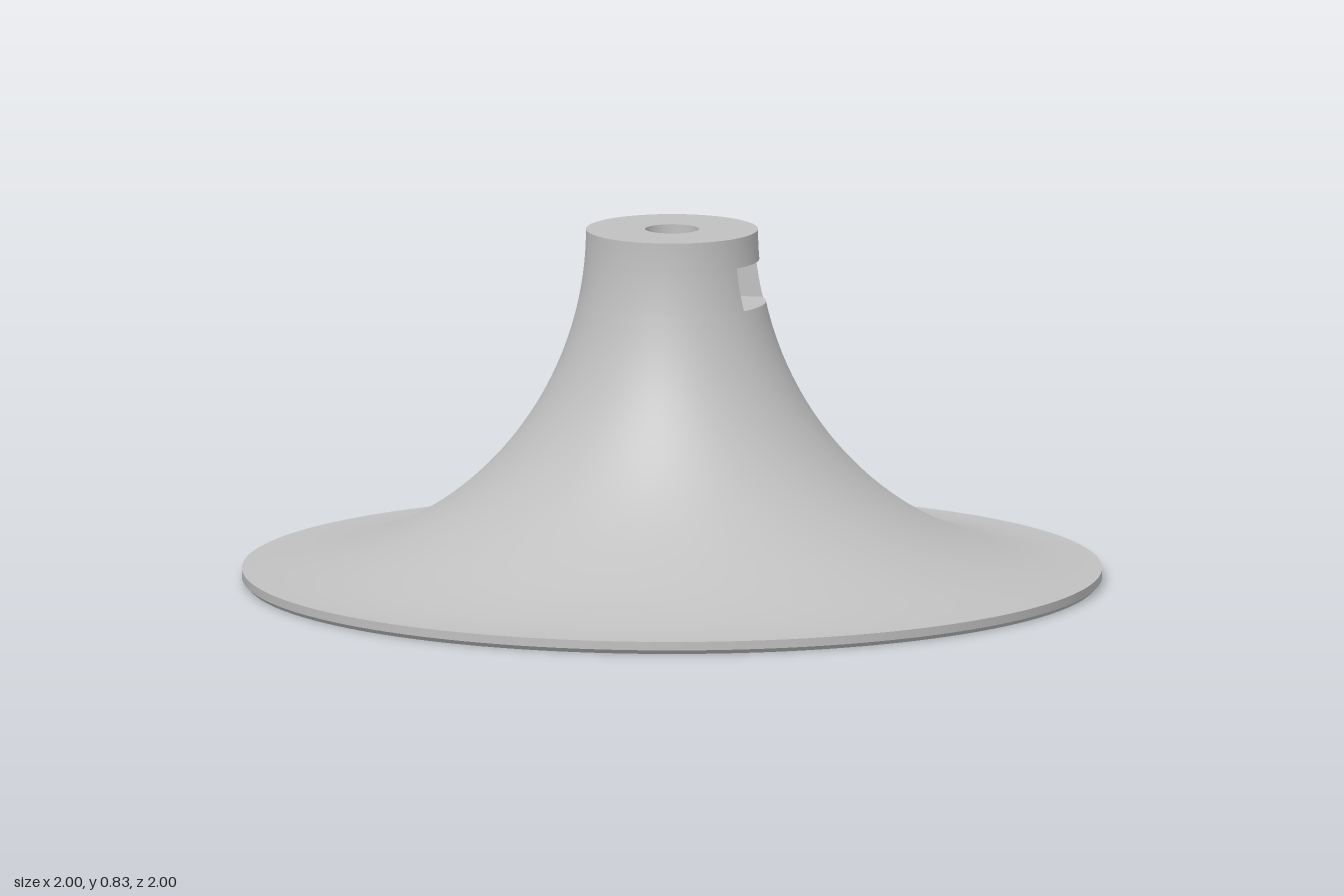
import * as THREE from 'three';
import { ParametricGeometry } from 'three/addons/geometries/ParametricGeometry.js';

const TOP = 0.83, RIM = 0.03;            // heights of neck top and rim top
const SLOT_LOW = 0.66, SLOT_HIGH = 0.76; // side slot
const HALF = 0.1, BACK = -0.1;           // slot half width and back wall
const BORE = 0.0625, BORE_FLOOR = 0.45;

// Radius of the concave flare: a quarter circle centred outside the body
const flare = (y) => 1 - Math.sqrt(Math.max(0, 0.64 - (y - TOP) ** 2));
const mouth = (y) => Math.sqrt(flare(y) ** 2 - HALF ** 2);

export function createModel() {
  const group = new THREE.Group();
  const grey = new THREE.MeshStandardMaterial({ color: 0xc0c0c0, side: THREE.DoubleSide });
  grey.name = 'plain grey';

  const add = (name, geometry) => {
    const mesh = new THREE.Mesh(geometry, grey);
    mesh.name = name;
    group.add(mesh);
    return mesh;
  };
  const lathe = (name, points) =>
    add(name, new THREE.LatheGeometry(points.map(([x, y]) => new THREE.Vector2(x, y)), 128));
  const surface = (name, fn, nu, nv) => add(name, new ParametricGeometry(fn, nu, nv));

  // Flared profile between two heights, spaced by angle along the arc
  const arc = (y0, y1, n) => {
    const a0 = Math.asin((TOP - y0) / 0.8), a1 = Math.asin((TOP - y1) / 0.8);
    return Array.from({ length: n + 1 }, (_, i) => {
      const a = a0 + (a1 - a0) * i / n;
      return [1 - 0.8 * Math.cos(a), TOP - 0.8 * Math.sin(a)];
    });
  };

  // Base disc and rim
  lathe('underside', [[0, 0], [0.99, 0]]);
  lathe('rimBevel', [[0.99, 0], [1, 0.01]]);
  lathe('rim', [[1, 0.01], [1, RIM]]);

  // Flared body below and above the slot
  lathe('flaredBody', arc(RIM, SLOT_LOW, 40));
  lathe('neckCollar', arc(SLOT_HIGH, TOP, 4));
  lathe('neckTop', [[flare(TOP), TOP], [BORE, TOP]]);

  // Neck wall around the slot, left open towards +x
  surface('neckWall', (u, v, target) => {
    const y = SLOT_LOW + (SLOT_HIGH - SLOT_LOW) * v;
    const r = flare(y), open = Math.asin(HALF / r);
    const t = open + (2 * Math.PI - 2 * open) * u;
    target.set(r * Math.cos(t), y, -r * Math.sin(t));
  }, 112, 6);

  // Slot side walls and back wall
  for (const s of [-1, 1]) {
    surface(s < 0 ? 'slotBackSide' : 'slotFrontSide', (u, v, target) => {
      const y = SLOT_LOW + (SLOT_HIGH - SLOT_LOW) * v;
      const k = s < 0 ? u : 1 - u;
      target.set(BACK + (mouth(y) - BACK) * k, y, s * HALF);
    }, 1, 6);
  }
  surface('slotEnd', (u, v, target) =>
    target.set(BACK, SLOT_LOW + (SLOT_HIGH - SLOT_LOW) * v, HALF - 2 * HALF * u), 1, 1);

  // Slot floor and ceiling, pierced by the bore
  const slotPlate = (name, y, turn) => {
    const r = flare(y), a = Math.asin(HALF / r);
    const shape = new THREE.Shape();
    shape.moveTo(BACK, -HALF);
    shape.lineTo(mouth(y), -HALF);
    shape.absarc(0, 0, r, -a, a, false);
    shape.lineTo(BACK, HALF);
    shape.closePath();
    shape.holes.push(new THREE.Path().absarc(0, 0, BORE, 0, Math.PI * 2, true));
    add(name, new THREE.ShapeGeometry(shape, 32).rotateX(turn * Math.PI / 2).translate(0, y, 0));
  };
  slotPlate('slotFloor', SLOT_LOW, -1);
  slotPlate('slotCeiling', SLOT_HIGH, 1);

  // Blind bore down from the neck top
  lathe('upperBore', [[BORE, TOP], [BORE, SLOT_HIGH]]);
  lathe('lowerBore', [[BORE, SLOT_LOW], [BORE, BORE_FLOOR]]);
  lathe('boreFloor', [[BORE, BORE_FLOOR], [0, BORE_FLOOR]]);

  return group;
}
